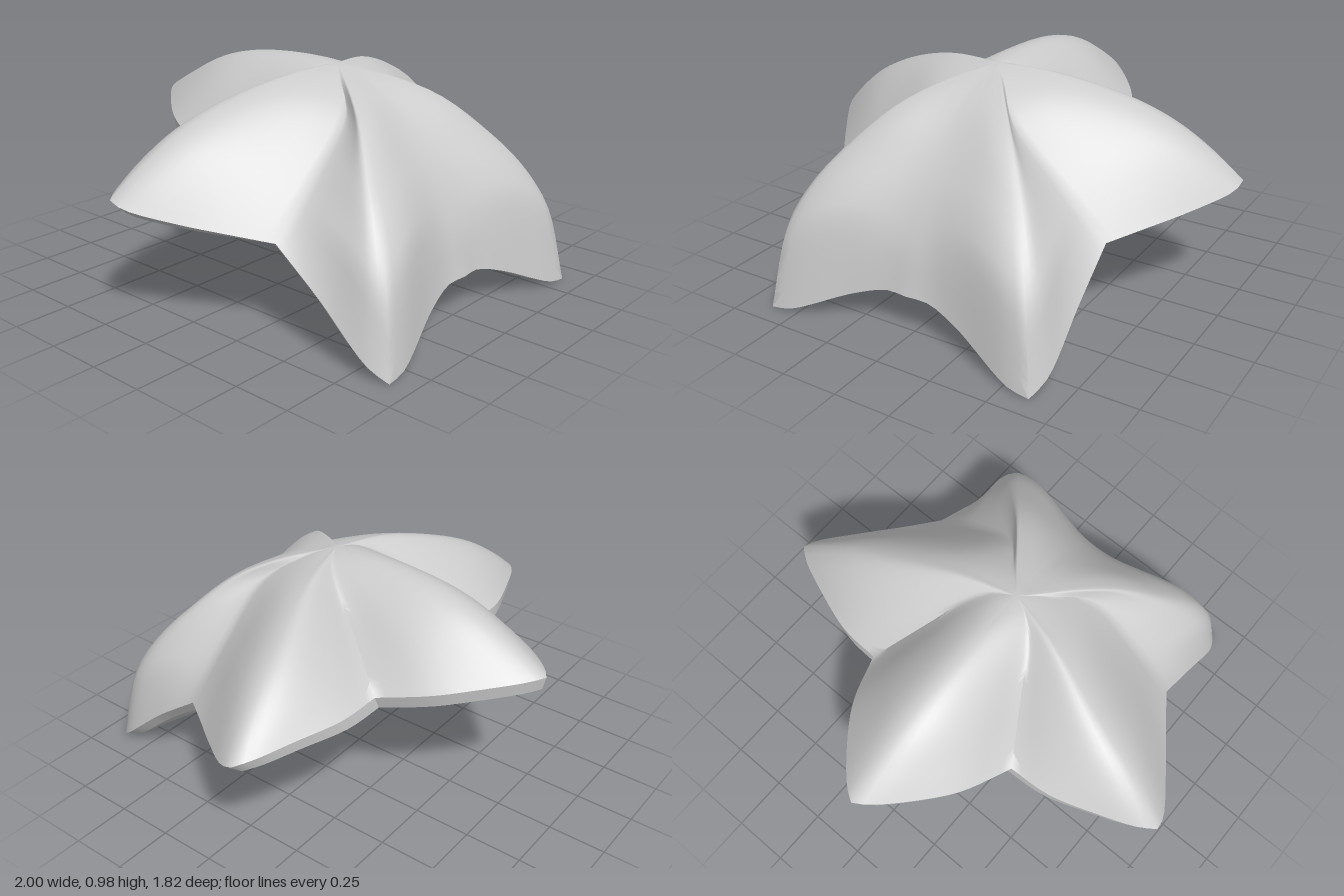
import * as THREE from 'three';
import { toCreasedNormals } from 'three/addons/utils/BufferGeometryUtils.js';

const V = (x, y, z) => new THREE.Vector3(x, y, z);
const curve = (...pts) => new THREE.CatmullRomCurve3(pts.map(p => V(...p)), false, 'centripetal');

const crown = [0, 0.97, 0.12];

// Raised spines along the arms, from the crown to each tip
const spine = {
  back: curve(crown, [0, 0.98, -0.08], [0, 0.955, -0.37], [0, 0.9, -0.57], [0, 0.795, -0.78], [0, 0.72, -0.91]),
  side: curve(crown, [0.25, 0.945, 0.06], [0.53, 0.86, -0.03], [0.74, 0.76, -0.09], [0.9, 0.645, -0.14], [1, 0.555, -0.17]),
  front: curve(crown, [0.15, 0.91, 0.32], [0.27, 0.83, 0.47], [0.4, 0.68, 0.62], [0.5, 0.52, 0.75], [0.57, 0.34, 0.84], [0.625, 0.005, 0.905]),
};

// Grooves between the arms, from the crown to each notch
const groove = {
  back: curve(crown, [0.08, 0.957, 0.08], [0.16, 0.905, 0], [0.25, 0.79, -0.15], [0.385, 0.61, -0.37]),
  side: curve(crown, [0.09, 0.935, 0.21], [0.22, 0.825, 0.35], [0.45, 0.615, 0.38], [0.66, 0.42, 0.38]),
  front: curve(crown, [0, 0.9, 0.33], [0, 0.785, 0.49], [0, 0.61, 0.64], [0, 0.4, 0.745], [0, 0.19, 0.8]),
};

// Each half arm: groove, spine and the rim running from notch to tip
const halfArms = [
  [groove.back, spine.back, curve([0.385, 0.61, -0.37], [0.3, 0.66, -0.58], [0.2, 0.69, -0.72], [0.06, 0.715, -0.87], [0, 0.72, -0.91])],
  [groove.back, spine.side, curve([0.385, 0.61, -0.37], [0.57, 0.6, -0.355], [0.78, 0.59, -0.285], [0.93, 0.57, -0.22], [1, 0.555, -0.17])],
  [groove.side, spine.side, curve([0.66, 0.42, 0.38], [0.77, 0.45, 0.22], [0.87, 0.48, 0.08], [0.99, 0.53, -0.11], [1, 0.555, -0.17])],
  [groove.side, spine.front, curve([0.66, 0.42, 0.38], [0.664, 0.26, 0.6], [0.66, 0.06, 0.83], [0.625, 0.005, 0.905])],
  [groove.front, spine.front, curve([0, 0.19, 0.8], [0.1, 0.187, 0.793], [0.25, 0.14, 0.82], [0.53, 0.02, 0.9], [0.625, 0.005, 0.905])],
];

// Patch held by groove, spine and rim, before rounding
function patch([g, r, rim], s, t) {
  const chord = g.getPointAt(1).lerp(r.getPointAt(1), s);
  return g.getPointAt(t).lerp(r.getPointAt(t), s).addScaledVector(rim.getPointAt(s).sub(chord), t);
}

// How far a patch row must change slope to lie level across its groove (0) or spine (1)
function slopeChange(arm, side, t) {
  const s = side * 0.99;
  const h = patch(arm, s + 0.01, t).sub(patch(arm, s, t)).multiplyScalar(100);
  const d = arm[side].getTangentAt(t), len = Math.hypot(d.x, d.z);
  const tx = d.x / len, tz = d.z / len;
  const along = h.x * tx + h.z * tz, across = h.z * tx - h.x * tz;
  return along * d.y / len - 0.3 * tx * across - h.y;
}

// Upper skin: rounded over the spines, with grooves that soften toward the crown
function upper(arm, s, t) {
  const p = patch(arm, s, t), fade = 1 - t ** 4;
  const grooveFade = arm[0] === groove.front ? fade : (1 - t) ** 2;
  const atSpine = THREE.MathUtils.clamp(slopeChange(arm, 1, t), -0.8, 0.3);
  const atGroove = THREE.MathUtils.clamp(slopeChange(arm, 0, t), -0.5, 0.5);
  p.y += grooveFade * atGroove * s * (1 - s) ** 2 - fade * atSpine * s * s * (1 - s);
  return p;
}

// Lower rim: set inward at the front, and more downward toward the back
function lowerRim(arm, s) {
  const p = arm[2].getPointAt(s);
  const inward = V(-0.6 * p.x, 0.55 * p.z - 0.45, -0.5 * p.z - 0.25).normalize();
  p.addScaledVector(inward, 0.06);
  p.y = Math.max(0, p.y);
  return p;
}

// Underside: a sloping flat belly that meets the lower rim
function lower(arm, s, t) {
  const edge = lowerRim(arm, s);
  const p = V(0, 0, 0.12).lerp(edge, t);
  p.y = THREE.MathUtils.lerp(0.415 - 0.3 * p.z, edge.y, t ** 3);
  return p;
}

// Adds all half arms and their mirror images as grids of triangles
function skin(name, point, rows, down, crease) {
  const cols = 14, out = [];
  for (const arm of halfArms) {
    const n = arm[0].getPointAt(1), tip = arm[1].getPointAt(1);
    const up = (n.z - 0.12) * tip.x - n.x * (tip.z - 0.12) > 0;
    const grid = [];
    for (let i = 0; i <= cols; i++) {
      grid.push([]);
      for (let j = 0; j <= rows; j++) grid[i].push(point(arm, i / cols, j / rows));
    }
    for (const m of [1, -1]) {
      const flip = (up === (m > 0)) === down;
      const tri = (a, b, c) => {
        if (a.distanceTo(b) < 1e-6 || b.distanceTo(c) < 1e-6 || a.distanceTo(c) < 1e-6) return;
        for (const p of flip ? [a, c, b] : [a, b, c]) out.push(p.x * m, p.y, p.z);
      };
      for (let i = 0; i < cols; i++) for (let j = 0; j < rows; j++) {
        const a = grid[i][j], b = grid[i][j + 1], c = grid[i + 1][j + 1], d = grid[i + 1][j];
        tri(a, b, c);
        tri(a, c, d);
      }
    }
  }
  const geo = new THREE.BufferGeometry();
  geo.setAttribute('position', new THREE.Float32BufferAttribute(out, 3));
  const mesh = new THREE.Mesh(toCreasedNormals(geo, crease),
    new THREE.MeshStandardMaterial({ color: 0xcccccc }));
  mesh.name = name;
  return mesh;
}

export function createModel() {
  const group = new THREE.Group();
  group.name = 'starfish';
  group.add(
    skin('upperSkin', upper, 22, false, 0.9),
    skin('rim', (arm, s, t) => arm[2].getPointAt(s).lerp(lowerRim(arm, s), t), 1, false, 0.7),
    skin('underside', lower, 16, true, 0.9),
  );
  return group;
}
